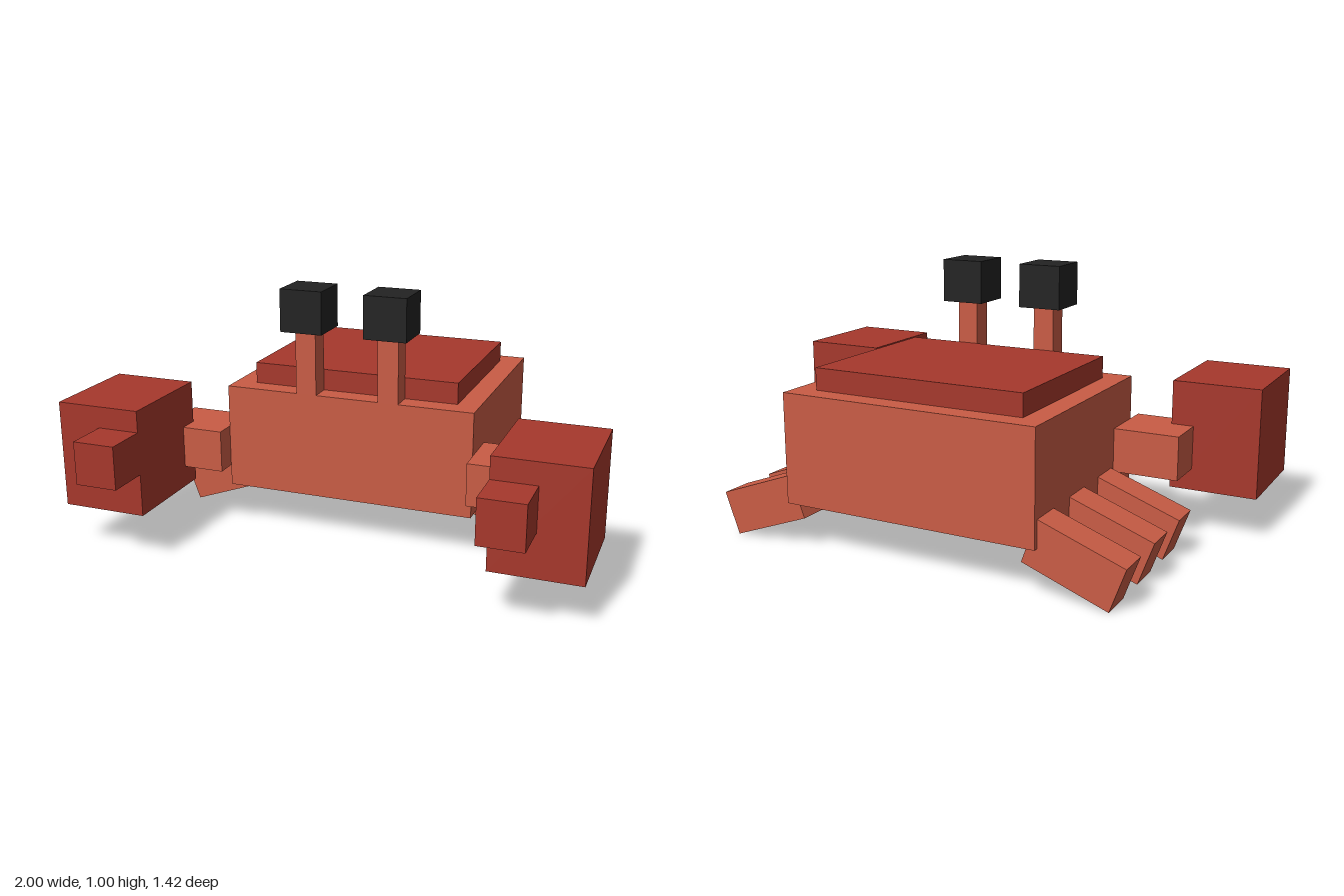
import * as THREE from 'three';

export function createModel() {
  const group = new THREE.Group();
  const material = (name, color) => {
    const m = new THREE.MeshStandardMaterial({ color });
    m.name = name;
    return m;
  };
  const orange = material('coral', 0xc95c45);
  const red = material('dark red', 0xa6382c);
  const black = material('black', 0x222222);

  // Box given by its lower and upper limits on each axis
  function box(name, mat, [x0, x1], [y0, y1], [z0, z1]) {
    const mesh = new THREE.Mesh(new THREE.BoxGeometry(x1 - x0, y1 - y0, z1 - z0), mat);
    mesh.position.set((x0 + x1) / 2, (y0 + y1) / 2, (z0 + z1) / 2);
    mesh.name = name;
    group.add(mesh);
    return mesh;
  }

  box('body', orange, [-0.5, 0.5], [0.17, 0.585], [-0.708, 0.125]);
  box('shell', red, [-0.415, 0.415], [0.585, 0.668], [-0.625, 0.042]);

  for (const [side, s] of [['left', 1], ['right', -1]]) {
    const span = (a, b) => (s > 0 ? [a, b] : [-b, -a]);

    // Eye on a stalk
    box(side + 'EyeStalk', orange, span(0.125, 0.207), [0.585, 0.835], [0.042, 0.125]);
    box(side + 'Eye', black, span(0.083, 0.25), [0.835, 1], [0, 0.167]);

    // Arm, claw and the pincer at the claw's inner edge
    box(side + 'Arm', orange, span(0.5, 0.75), [0.252, 0.418], [-0.042, 0.207]);
    box(side + 'Claw', red, span(0.665, 1), [0.17, 0.585], [0.125, 0.541]);
    box(side + 'Pincer', red, span(0.665, 0.83), [0.336, 0.502], [0.541, 0.708]);

    // Three legs sloping down and outwards
    [-0.125, -0.375, -0.627].forEach((z, i) => {
      const leg = new THREE.Mesh(new THREE.BoxGeometry(0.333, 0.167, 0.125), orange);
      leg.position.set(s * 0.627, 0.136, z);
      leg.rotation.z = -s * 0.349;
      leg.name = side + 'Leg' + (i + 1);
      group.add(leg);
    });
  }
  return group;
}
